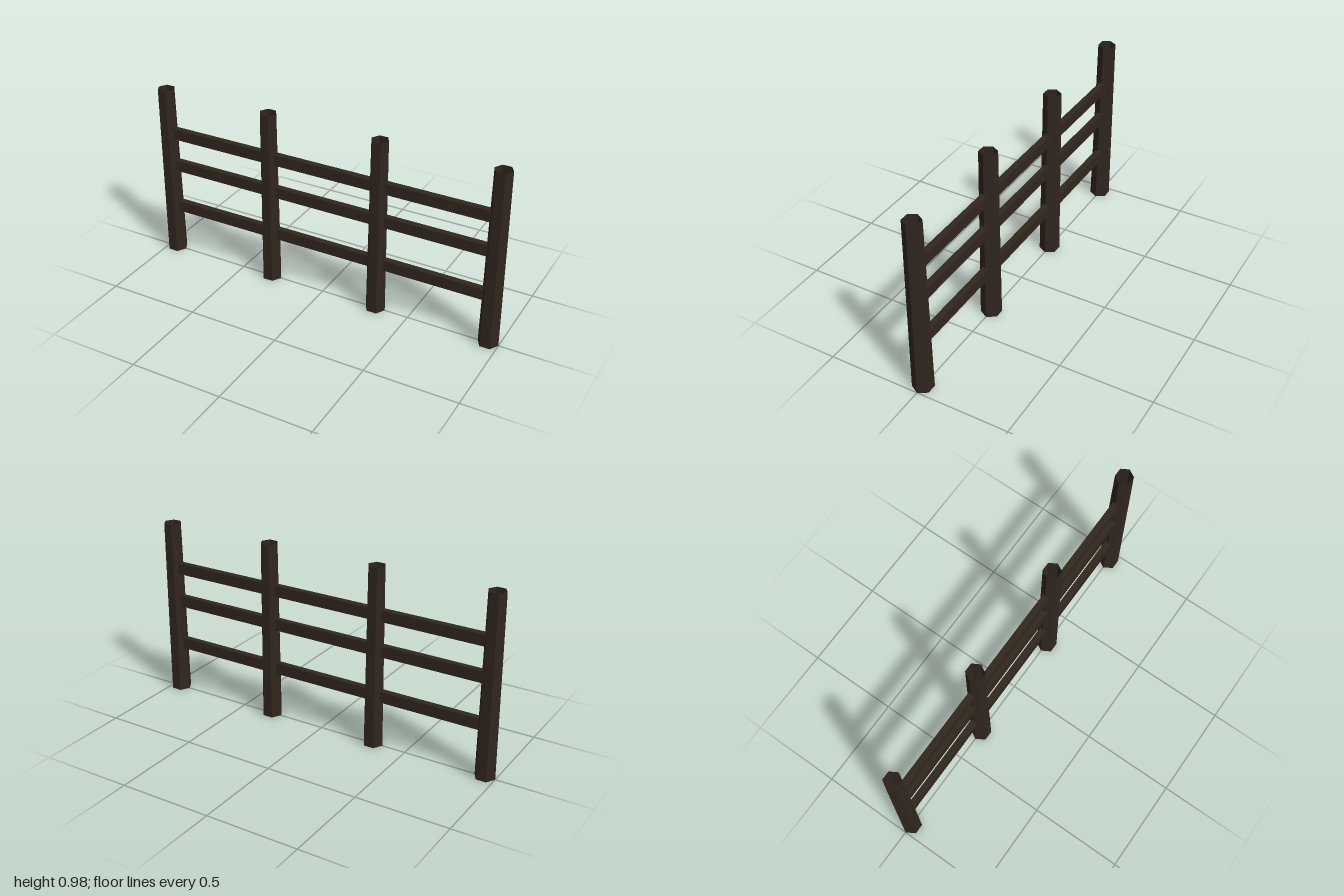
import * as THREE from 'three';

export function createModel() {
  const fence = new THREE.Group();
  fence.name = 'fence';
  const wood = new THREE.MeshStandardMaterial({
    color: 0x30261e, flatShading: true, side: THREE.DoubleSide,
  });

  // Four tapered hexagonal posts, open at both ends, corners pointing along x
  const height = 0.98, spacing = 0.63, reach = 1.5 * spacing;
  const postGeometry = new THREE.CylinderGeometry(0.047, 0.055, height, 6, 1, true, Math.PI / 6);
  for (let i = 0; i < 4; i++) {
    const post = new THREE.Mesh(postGeometry, wood);
    post.name = `post${i + 1}`;
    post.position.set(-reach + i * spacing, height / 2, 0);
    fence.add(post);
  }

  // Three rails running through the posts, from the first centre to the last
  const railGeometry = new THREE.BoxGeometry(2 * reach, 0.061, 0.034);
  for (const [name, y] of [['lowerRail', 0.285], ['middleRail', 0.537], ['upperRail', 0.727]]) {
    const rail = new THREE.Mesh(railGeometry, wood);
    rail.name = name;
    rail.position.y = y;
    fence.add(rail);
  }
  return fence;
}
